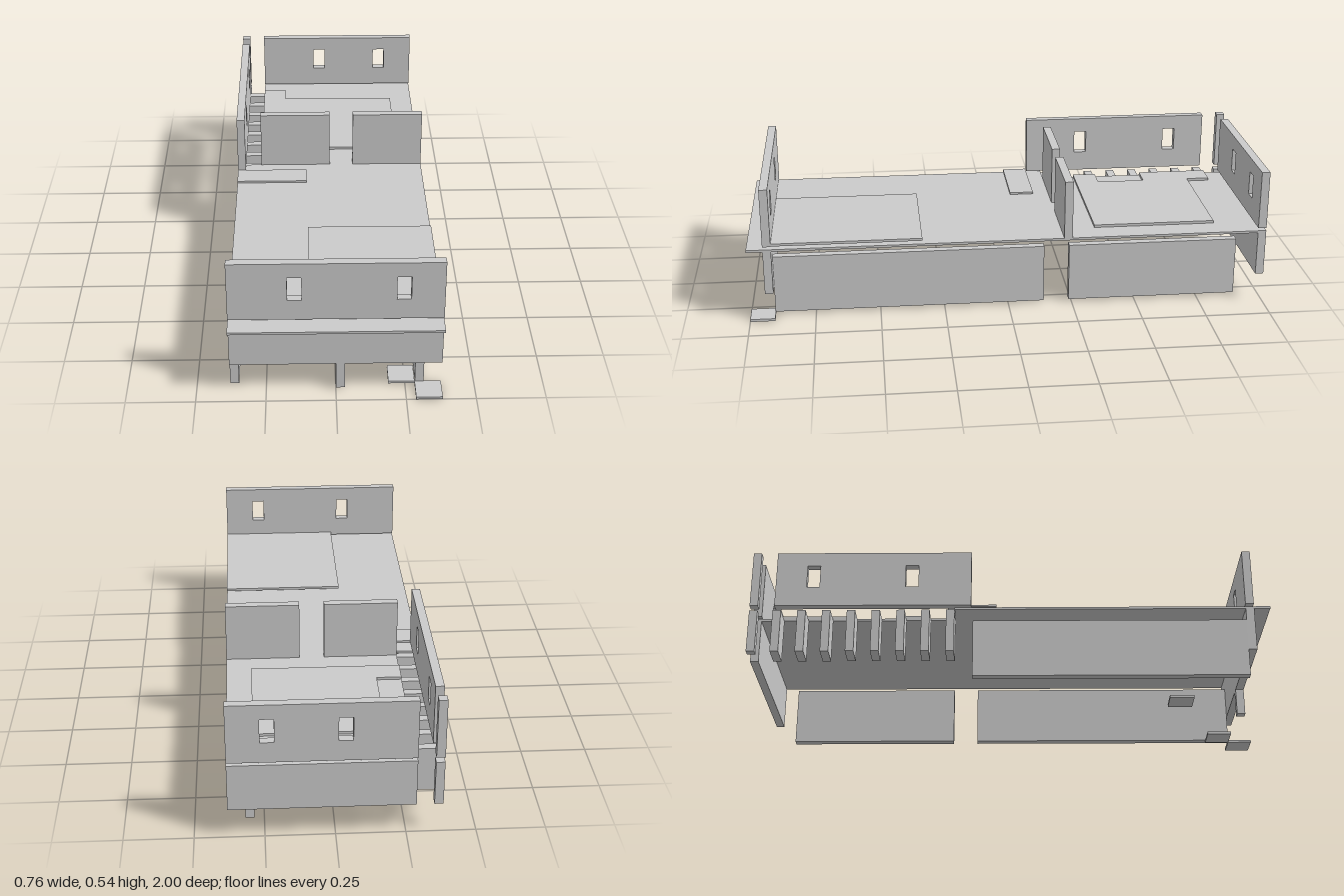
import * as THREE from 'three';

const material = new THREE.MeshStandardMaterial({ color: 0xcccccc, flatShading: true });

export function createModel() {
  const model = new THREE.Group();

  function add(name, geometry) {
    const mesh = new THREE.Mesh(geometry, material);
    mesh.name = name;
    model.add(mesh);
    return mesh;
  }

  // Box given by its limits on each axis
  function box(name, [x0, x1], [y0, y1], [z0, z1]) {
    const g = new THREE.BoxGeometry(x1 - x0, y1 - y0, z1 - z0);
    g.translate((x0 + x1) / 2, (y0 + y1) / 2, (z0 + z1) / 2);
    return add(name, g);
  }

  function outline(points, Type = THREE.Shape) {
    return new Type(points.map(([x, y]) => new THREE.Vector2(x, y)));
  }

  function rect(x0, x1, y0, y1, Type) {
    return outline([[x0, y0], [x1, y0], [x1, y1], [x0, y1]], Type);
  }

  const WALL = 0.032;
  const UPPER = [0.308, 0.537];
  const LOWER = [0.115, 0.288];
  const SKIRT = [0.01, 0.24];

  // Upper wall with window openings, starting as an upright panel facing +z
  function windowWall(name, u0, u1, windows) {
    const shape = rect(u0, u1, ...UPPER);
    for (const u of windows) shape.holes.push(rect(u, u + 0.05, 0.388, 0.48, THREE.Path));
    return add(name, new THREE.ExtrudeGeometry(shape, { depth: WALL, bevelEnabled: false }));
  }

  // Flat slab from an outline of (x, z) points
  function flat(name, points, y0, y1) {
    const shape = outline(points.map(([x, z]) => [x, -z]));
    const g = new THREE.ExtrudeGeometry(shape, { depth: y1 - y0, bevelEnabled: false });
    g.rotateX(-Math.PI / 2);
    g.translate(0, y0, 0);
    return add(name, g);
  }

  // Main deck, cut back along the slatted side
  flat('deck', [[-0.38, 1], [0.38, 1], [0.38, -1], [-0.285, -1], [-0.285, -0.21], [-0.38, -0.21]], 0.288, 0.297);

  // Front, rear and side walls above the deck
  windowWall('frontUpperWall', -0.38, 0.38, [-0.17, 0.212]).position.z = 0.906;
  windowWall('rearUpperWall', -0.285, 0.38, [-0.06, 0.212]).position.z = -1;
  const side = windowWall('sideUpperWall', 0.147, 0.905, [0.352, 0.735]);
  side.rotation.y = Math.PI / 2;
  side.position.x = -0.38;

  // Lower walls at both ends
  box('frontLowerWall', [-0.38, 0.38], LOWER, [0.906, 0.938]);
  box('rearLowerWall', [-0.285, 0.38], LOWER, [-1, -0.968]);

  // Free-standing rear corner post in two storeys
  for (const y of [LOWER, UPPER]) box('cornerPost', [-0.38, -0.348], y, [-1, -0.968]);

  // Partitions with a doorway between them
  for (const x of [[-0.285, 0], [0.095, 0.38]]) box('partition', x, [0.297, 0.526], [-0.241, -0.209]);

  // Row of slats under the side wall
  for (let i = 0; i < 8; i++) {
    const z = -0.894 + i * 0.0953;
    box('slat', [-0.38, -0.285], LOWER, [z - 0.016, z + 0.016]);
  }

  // Long skirts near the ground and the middle post
  box('leftFrontSkirt', [-0.38, -0.348], SKIRT, [-0.14, 0.906]);
  box('rightFrontSkirt', [0.286, 0.318], SKIRT, [-0.14, 0.906]);
  box('rightRearSkirt', [0.286, 0.318], SKIRT, [-0.9, -0.238]);
  box('middlePost', [0, 0.032], [0.01, 0.115], [0.906, 0.938]);

  // Thin floor panels on the deck
  box('frontFloorPanel', [-0.095, 0.38], [0.31, 0.32], [0.335, 0.906]);
  box('sideFloorPanel', [-0.38, -0.098], [0.3, 0.308], [-0.145, -0.05]);
  flat('rearFloorPanel', [
    [-0.285, -0.34], [0.285, -0.34], [0.285, -0.813], [-0.19, -0.813], [-0.19, -0.905],
    [-0.285, -0.905], [-0.285, -0.625], [-0.19, -0.625], [-0.19, -0.433], [-0.285, -0.433],
  ], 0.2975, 0.308);

  // Small ground tiles
  for (const [x, z] of [[0.285, 0.905], [0.19, 0.81], [-0.19, 0.62]]) {
    box('groundTile', [x, x + 0.095], [0, 0.01], [z, z + 0.095]);
  }

  return model;
}
